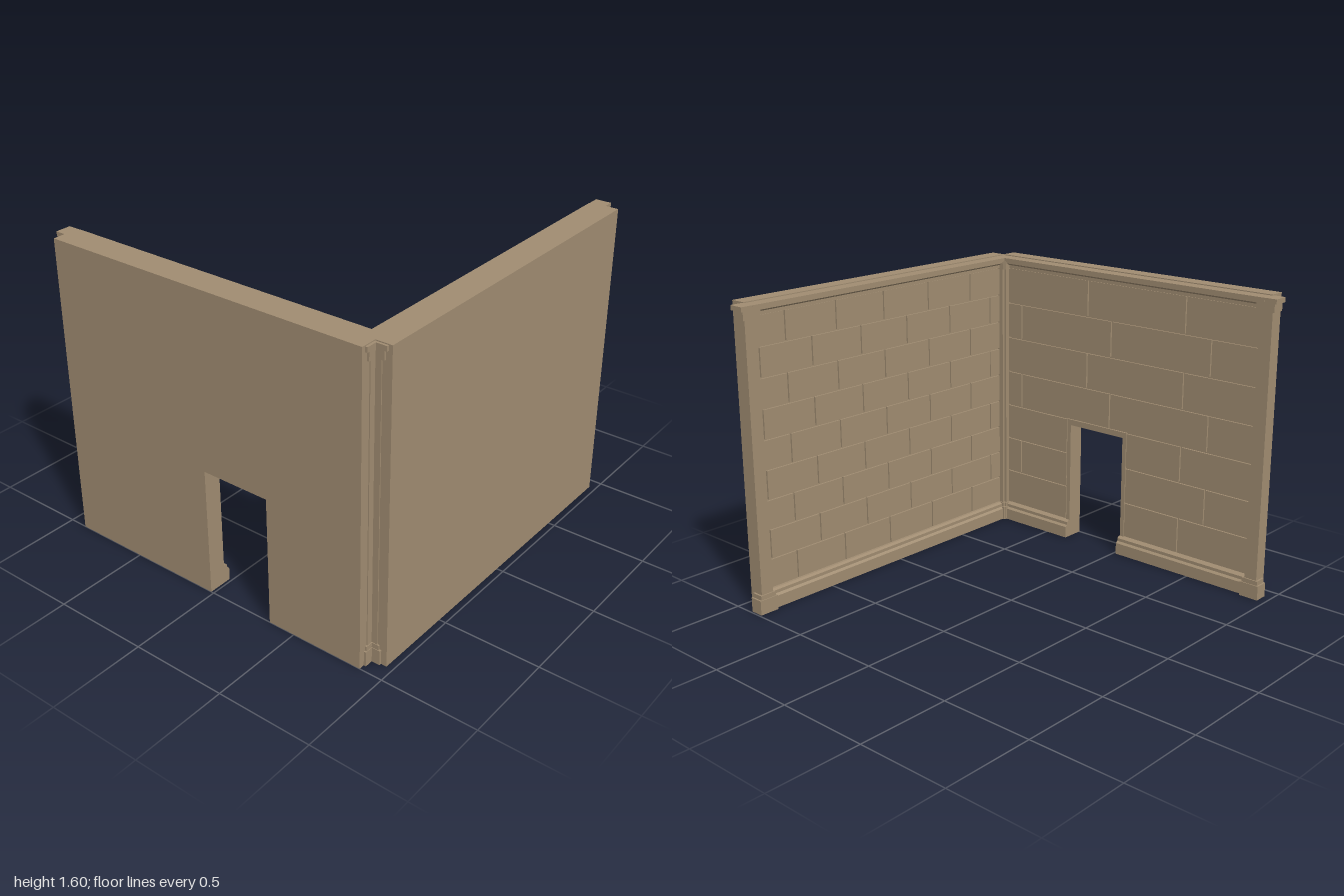
import * as THREE from 'three';
import { mergeGeometries } from 'three/addons/utils/BufferGeometryUtils.js';

const H = 1.6, THICK = 0.085, BRICK = 0.01, GAP = 0.008;
const BASE_TOP = 0.1, CORNICE_BOTTOM = 1.53;

// Box given by its ranges along the wall (u), up (y) and into the room (d)
function slabBox(u0, u1, y0, y1, d0, d1) {
  const g = new THREE.BoxGeometry(u1 - u0, y1 - y0, d1 - d0);
  return g.translate((u0 + u1) / 2, (y0 + y1) / 2, (d0 + d1) / 2);
}

// Moulding: a (depth, height) profile swept along the wall
function moulding(profile, u0, u1) {
  const shape = new THREE.Shape(profile.map(([d, y]) => new THREE.Vector2(-d, y)));
  const g = new THREE.ExtrudeGeometry(shape, { depth: u1 - u0, bevelEnabled: false });
  return g.rotateY(Math.PI / 2).translate(u0, 0, 0);
}

const baseProfile = [[0, 0], [0.045, 0], [0.045, 0.065], [0.032, 0.075], [0.032, 0.092], [0.018, 0.1], [0, 0.1]];
const corniceProfile = [[0, 1.53], [0.022, 1.53], [0.022, 1.548], [0.045, 1.56], [0.045, 1.572],
  [0.072, 1.575], [0.072, 1.595], [0, 1.595]];

// Square pilaster tiers: half width, bottom, top, back depth, front depth
const pilasterTiers = [
  [0.055, 0, 0.078, -0.012, 0.062],
  [0.046, 0.078, 0.102, -0.009, 0.057],
  [0.036, 0.102, 1.525, -0.005, 0.05],
  [0.052, 1.525, 1.57, -0.01, 0.062],
  [0.066, 1.57, 1.595, -0.012, 0.07],
];

export function createModel() {
  const stone = new THREE.MeshStandardMaterial({ color: 0xa08c71 });
  stone.name = 'tan stone';
  const model = new THREE.Group();
  model.name = 'roomCorner';

  function add(parent, name, geometries) {
    const geometry = geometries.length > 1 ? mergeGeometries(geometries) : geometries[0];
    const mesh = new THREE.Mesh(geometry, stone);
    mesh.name = name;
    parent.add(mesh);
  }

  // A wall whose local +z faces the room
  function wall(name, { u0, u1, rows, brickLength, shift, stagger, door }) {
    const group = new THREE.Group();
    group.name = name;

    // Plain outer slab with optional doorway
    const outline = [[u0, 0]];
    if (door) outline.push([door.u0, 0], [door.u0, door.top], [door.u1, door.top], [door.u1, 0]);
    outline.push([u1, 0], [u1, H], [u0, H]);
    const shape = new THREE.Shape(outline.map(([x, y]) => new THREE.Vector2(x, y)));
    const slab = new THREE.ExtrudeGeometry(shape, { depth: THICK, bevelEnabled: false });
    add(group, 'outerSlab', [slab.translate(0, 0, -THICK)]);

    // Raised bricks in staggered courses, cut off at the doorway
    const bricks = [];
    const rowH = (CORNICE_BOTTOM - BASE_TOP) / rows;
    const edge = 0.025;
    for (let r = 0; r < rows; r++) {
      const y0 = BASE_TOP + r * rowH;
      const y1 = y0 + rowH;
      const spans = door && y0 < door.top
        ? [[u0, door.u0 - edge], [door.u1 + edge, u1]] : [[u0, u1]];
      const offset = shift + (r % 2) * stagger;
      for (const [a, b] of spans) {
        const first = Math.floor((a - offset) / brickLength);
        for (let k = first; offset + k * brickLength < b; k++) {
          const s = Math.max(a, offset + k * brickLength);
          const e = Math.min(b, offset + (k + 1) * brickLength);
          if (e - s < GAP * 2) continue;
          bricks.push(slabBox(s + GAP / 2, e - GAP / 2, y0 + GAP / 2, y1 - GAP / 2, 0, BRICK));
        }
      }
    }
    add(group, 'bricks', bricks);

    // Flush frame round the doorway
    if (door) {
      const top = BASE_TOP + Math.ceil((door.top - BASE_TOP) / rowH) * rowH;
      add(group, 'doorFrame', [
        slabBox(door.u0 - edge, door.u0, BASE_TOP, top, 0, BRICK),
        slabBox(door.u1, door.u1 + edge, BASE_TOP, top, 0, BRICK),
        slabBox(door.u0, door.u1, door.top, top, 0, BRICK),
      ]);
    }

    // Skirting and cornice
    const runs = door ? [[u0, door.u0], [door.u1, u1]] : [[u0, u1]];
    add(group, 'skirting', runs.map(([a, b]) => moulding(baseProfile, a, b)));
    add(group, 'cornice', [moulding(corniceProfile, u0, u1)]);

    // Pilasters centred on both ends
    for (const u of [u0, u1]) {
      add(group, 'pilaster', pilasterTiers.map(([w, y0, y1, d0, d1]) =>
        slabBox(u - w, u + w, y0, y1, d0, d1)));
    }
    model.add(group);
    return group;
  }

  const front = wall('frontWall', {
    u0: -0.88, u1: 0.902, rows: 7, brickLength: 0.65, shift: -0.245, stagger: 0.165,
    door: { u0: -0.355, u1: 0.015, top: 0.68 },
  });
  front.rotation.y = Math.PI;
  front.position.z = 0.915;

  const side = wall('leftWall', {
    u0: -0.935, u1: 0.915, rows: 9, brickLength: 0.33, shift: -0.7, stagger: 0.165,
  });
  side.rotation.y = -Math.PI / 2;
  side.position.x = 0.88;

  return model;
}
